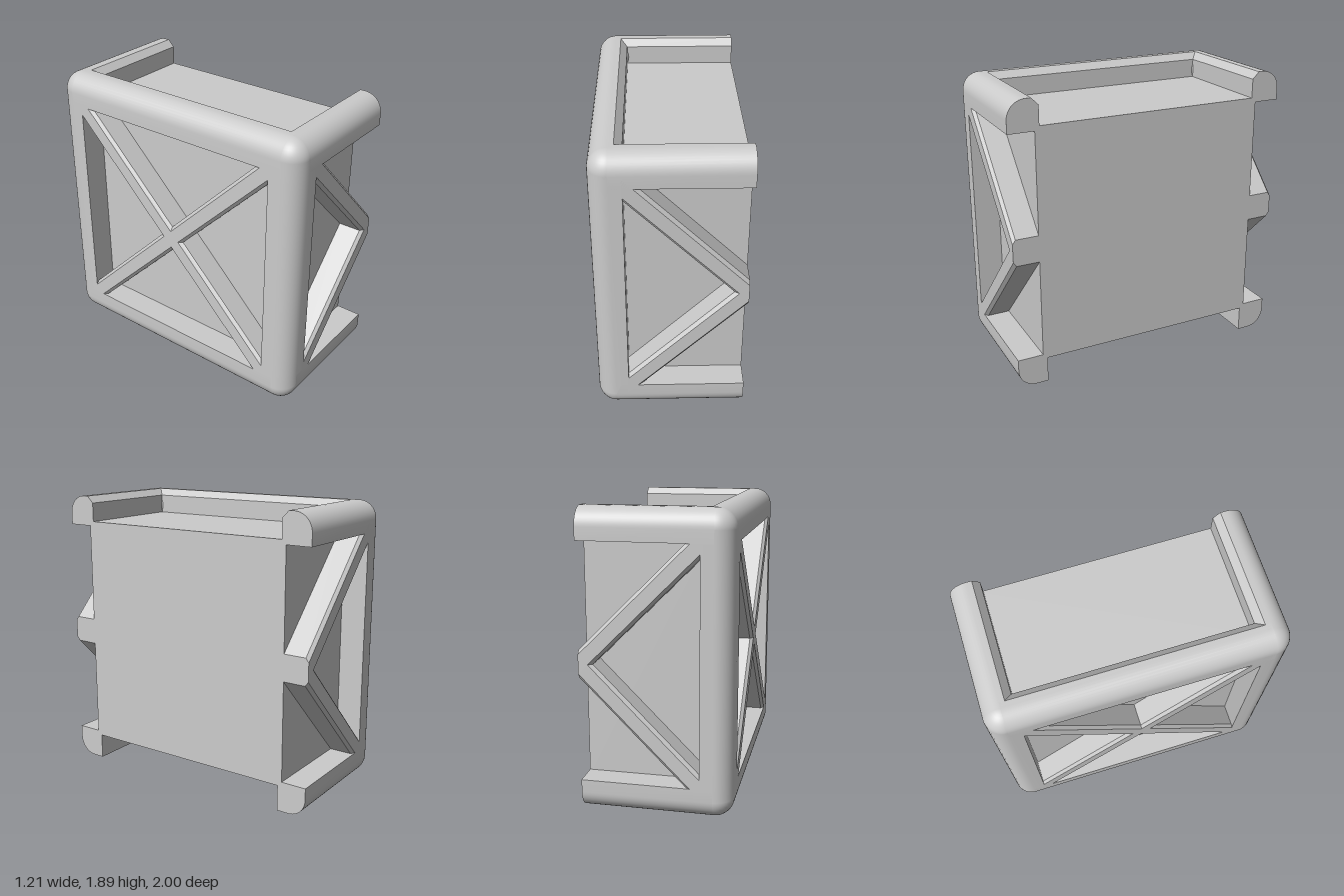
import * as THREE from 'three';
import { toCreasedNormals } from 'three/addons/utils/BufferGeometryUtils.js';

const S = 0.945;      // half size of the full crate
const INNER = 0.745;  // inner edge of the frame beams
const CORE = 0.775;   // half size of the recessed body
const R = 0.12;       // outer edge radius
const E = S - R;
const material = new THREE.MeshStandardMaterial({ color: 0xcccccc });

function addMesh(parent, name, geometry) {
  const mesh = new THREE.Mesh(geometry, material);
  mesh.name = name;
  parent.add(mesh);
  return mesh;
}

// Square beam profile with a rounded outer corner in quadrant (sx, sy);
// bevel cuts the edge beside the top opening
function beamShape(sx, sy, bevel = 0) {
  const pts = [[INNER, INNER], [S, INNER]];
  for (let i = 0; i <= 10; i++) {
    const a = (i / 10) * Math.PI / 2;
    pts.push([E + R * Math.cos(a), E + R * Math.sin(a)]);
  }
  if (bevel) pts.push([INNER + bevel, S], [INNER, S - bevel]);
  else pts.push([INNER, S]);
  return new THREE.Shape(pts.map(([x, y]) => new THREE.Vector2(x * sx, y * sy)));
}

function extrude(shape, from, to) {
  const g = new THREE.ExtrudeGeometry(shape, { depth: to - from, bevelEnabled: false });
  return g.translate(0, 0, from);
}

// Diagonal bar on the +x side, running along z and sheared by slope
function braceGeometry(from, to, slope) {
  const h = 0.0875, c = 0.028, d = 0.02;
  const pts = [[0.76, -h], [S - d, -h], [S, -h + c], [S, h - c], [S - d, h], [0.76, h]];
  const g = extrude(new THREE.Shape(pts.map(p => new THREE.Vector2(...p))), from, to);
  const p = g.attributes.position;
  for (let i = 0; i < p.count; i++) p.setY(i, p.getY(i) + slope * p.getZ(i));
  return toCreasedNormals(g, 0.3);
}

export function createModel() {
  const model = new THREE.Group();
  model.name = 'halfCrate';
  const crate = new THREE.Group();
  crate.name = 'crate';
  crate.rotation.y = 0.156;
  crate.position.set(0.457, S, -0.068);
  model.add(crate);

  // Recessed body, cut flat on the open side
  addMesh(crate, 'body', new THREE.BoxGeometry(CORE, 2 * CORE, 2 * CORE).translate(-CORE / 2, 0, 0));

  // Frame beams
  const smooth = g => toCreasedNormals(g, 0.5);
  for (const sy of [-1, 1]) {
    const bevel = sy > 0 ? 0.045 : 0;
    addMesh(crate, 'longBeam', smooth(extrude(beamShape(-1, sy, bevel), -E, E)));
    for (const sz of [-1, 1]) {
      addMesh(crate, 'shortBeam', smooth(extrude(beamShape(-sz, sy, bevel), -E, 0).rotateY(Math.PI / 2)));
      // Rounded corner
      addMesh(crate, 'corner', new THREE.SphereGeometry(R, 40, 20).translate(-E, sy * E, sz * E));
    }
  }
  for (const sz of [-1, 1]) {
    addMesh(crate, 'post', smooth(extrude(beamShape(-1, -sz), -E, E).rotateX(-Math.PI / 2)));
  }

  // Crossed braces on the long side, half crosses on the two cut sides
  const L = 0.75;
  for (const slope of [-1, 1]) {
    addMesh(crate, 'longSideBrace', braceGeometry(-L, L, slope).rotateY(Math.PI));
    addMesh(crate, 'frontBrace', braceGeometry(0, L, slope).rotateY(-Math.PI / 2));
    addMesh(crate, 'backBrace', braceGeometry(-L, 0, slope).rotateY(Math.PI / 2));
  }
  return model;
}
